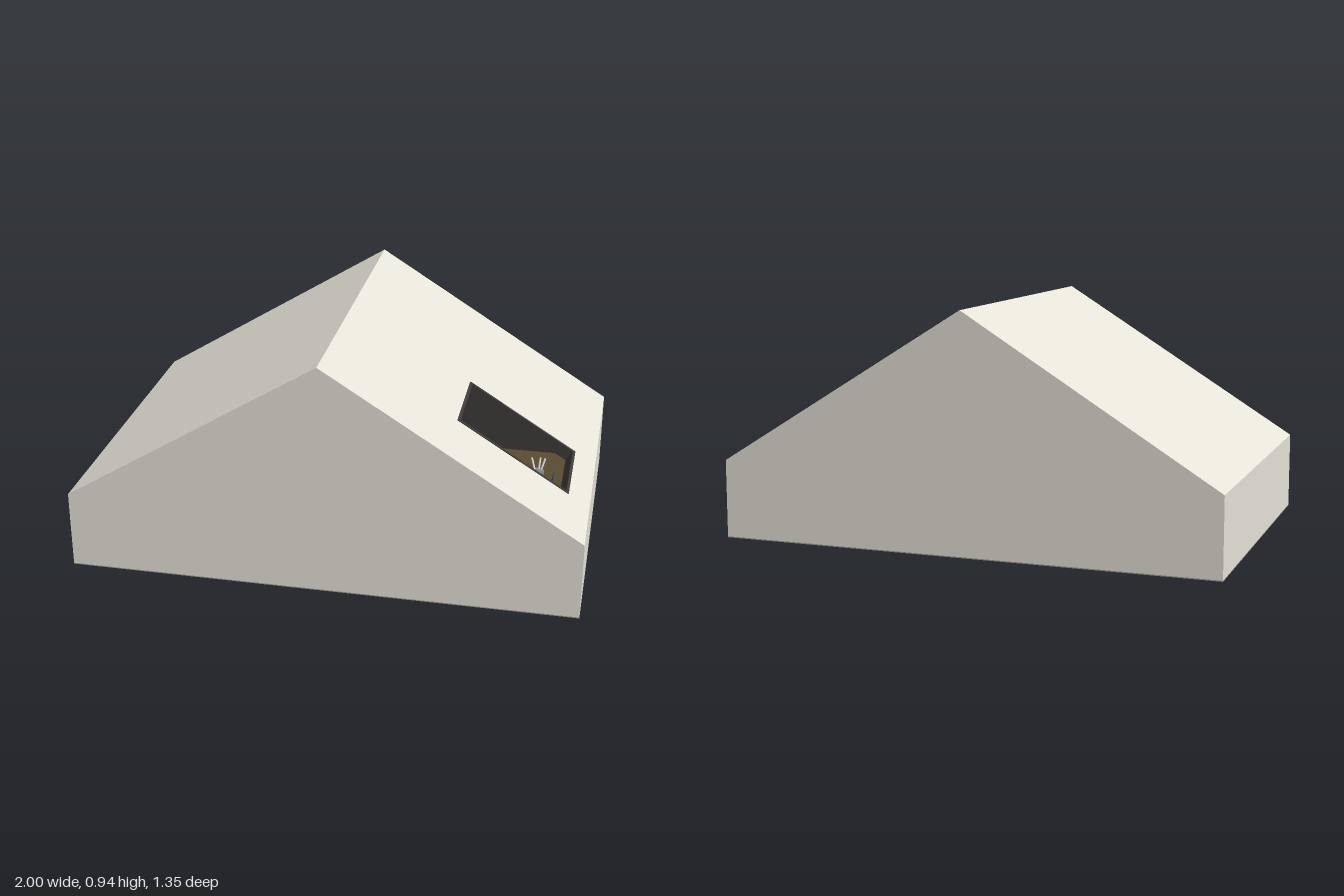
import * as THREE from 'three';

const mat = (name, color) => Object.assign(new THREE.MeshStandardMaterial({ color }), { name });

export function createModel() {
  const wall = mat('plaster', 0xe6e3d8);
  const base = mat('foundation grey', 0xa29e9a);
  const dark = mat('charcoal', 0x3e3c39);
  const floorWood = mat('floor wood', 0x5a4b32);
  const leather = mat('brown leather', 0x544529);
  const grey = mat('grey metal', 0x4c4c4e);
  const silver = mat('silver', 0x85868a);
  const pale = mat('pale ceramic', 0xe4e4e0);

  const house = new THREE.Group();
  house.name = 'atticHouse';

  const add = (name, geometry, material, x = 0, y = 0, z = 0, parent = house) => {
    const mesh = new THREE.Mesh(geometry, material);
    mesh.name = name;
    mesh.position.set(x, y, z);
    parent.add(mesh);
    return mesh;
  };
  const box = (name, w, h, d, material, x, y, z) =>
    add(name, new THREE.BoxGeometry(w, h, d), material, x, y, z);
  const rect = (Type, u0, u1, v0, v1) => new Type([[u0, v0], [u1, v0], [u1, v1], [u0, v1]]
    .map(([u, v]) => new THREE.Vector2(u, v)));
  const extrude = (shape, depth) =>
    new THREE.ExtrudeGeometry(shape, { depth, bevelEnabled: false, curveSegments: 12 });

  const D = 0.675, EAVE = 0.313, RIDGE = 0.935, BASE = 0.004;
  const L = Math.hypot(1, RIDGE - EAVE), c = 1 / L, s = (RIDGE - EAVE) / L;

  // Gable ends with a dark lining and a framed wooden panel inside
  const gable = (half, bottom, drop) => new THREE.Shape([[-half, bottom], [half, bottom],
    [half, RIDGE - 0.622 * half - drop], [0, RIDGE - drop], [-half, RIDGE - 0.622 * half - drop]]
    .map(([x, y]) => new THREE.Vector2(x, y)));
  for (const [name, side] of [['front', 1], ['back', -1]]) {
    add(name + 'Gable', extrude(gable(1, BASE, 0), 0.02), wall, 0, 0, side > 0 ? D - 0.02 : -D);
    add(name + 'GableLining', extrude(gable(0.965, 0.02, 0.05), 0.006), dark, 0, 0, side * (D - 0.023) - 0.003);
    box(name + 'WoodPanel', 0.6, 0.4, 0.006, floorWood, 0, 0.33, side * (D - 0.029));
    for (const y of [0.125, 0.535]) box(name + 'PanelRail', 0.64, 0.02, 0.016, dark, 0, y, side * (D - 0.032));
    for (const x of [-0.31, 0, 0.31]) box(name + 'PanelStile', 0.02, 0.4, 0.016, dark, x, 0.33, side * (D - 0.032));
  }

  // Low side walls and floor
  for (const side of [-1, 1]) {
    box(side > 0 ? 'leftWall' : 'rightWall', 0.03, EAVE - BASE, 2 * D, wall, side * 0.985, (EAVE + BASE) / 2, 0);
  }
  box('underside', 2, BASE, 2 * D, base, 0, BASE / 2, 0);
  box('floorBoards', 1.94, 0.02, 2 * D - 0.04, floorWood, 0, 0.016, 0);

  // Roof plane: local x runs down the slope, y is depth, z goes into the roof
  const slope = (name, turn) => {
    const pivot = new THREE.Group();
    pivot.name = name;
    pivot.rotation.y = turn;
    const plane = new THREE.Group();
    plane.applyMatrix4(new THREE.Matrix4().makeBasis(
      new THREE.Vector3(c, -s, 0), new THREE.Vector3(0, 0, 1), new THREE.Vector3(-s, -c, 0))
      .setPosition(0, RIDGE, 0));
    pivot.add(plane);
    house.add(pivot);
    return plane;
  };
  const U0 = 0.48 / c, U1 = 0.916 / c, V0 = 0.013, V1 = 0.382;
  for (const [name, turn, open] of [['skylightRoof', 0, true], ['plainRoof', Math.PI, false]]) {
    const plane = slope(name, turn);
    const outer = rect(THREE.Shape, 0, L, -D, D);
    const inner = rect(THREE.Shape, 0.05, L - 0.04, -D + 0.03, D - 0.03);
    if (open) {
      for (const sh of [outer, inner]) sh.holes.push(rect(THREE.Path, U0, U1, V0, V1));
      const frame = rect(THREE.Shape, U0, U1, V0, V1);
      frame.holes.push(rect(THREE.Path, U0 + 0.012, U1 - 0.012, V0 + 0.012, V1 - 0.012));
      add('skylightFrame', extrude(frame, 0.051), dark, 0, 0, -0.003, plane);
    }
    add('roofSlab', extrude(outer, 0.04), wall, 0, 0, 0, plane);
    add('ceilingLining', extrude(inner, 0.006), dark, 0, 0, 0.04, plane);
  }

  // Desk with rounded corners toward the chair
  const DESK = 0.25;
  const top = new THREE.Shape();
  top.moveTo(0.9, 0.015);
  top.lineTo(0.9, 0.385);
  top.lineTo(0.77, 0.385);
  top.quadraticCurveTo(0.69, 0.385, 0.69, 0.3);
  top.lineTo(0.69, 0.1);
  top.quadraticCurveTo(0.69, 0.015, 0.77, 0.015);
  add('deskTop', extrude(top, 0.015), floorWood, 0, DESK, 0).rotation.x = Math.PI / 2;
  for (const x of [0.75, 0.87]) {
    for (const z of [0.06, 0.34]) box('deskLeg', 0.016, 0.21, 0.016, dark, x, 0.131, z);
  }
  box('deskBackboard', 0.012, 0.03, 0.37, dark, 0.894, 0.265, 0.2);

  // Things on the desk
  box('laptopBase', 0.1, 0.008, 0.125, grey, 0.78, DESK + 0.004, 0.205);
  box('laptopScreen', 0.006, 0.08, 0.125, grey, 0.838, DESK + 0.045, 0.205).rotation.z = -0.25;
  box('notebook', 0.045, 0.01, 0.06, leather, 0.77, DESK + 0.005, 0.32).rotation.y = -0.5;
  add('penCup', new THREE.CylinderGeometry(0.026, 0.022, 0.05, 20), silver, 0.775, DESK + 0.025, 0.08);
  for (const [x, z] of [[-1, -1], [0.9, -1.1], [0.2, -1.2]]) {
    const pen = add('pen', new THREE.CylinderGeometry(0.004, 0.004, 0.07, 8), pale,
      0.775 + x * 0.018, DESK + 0.06, 0.08 + z * 0.018);
    pen.rotation.set(z * 0.3, 0, -x * 0.3);
  }
  add('lampBase', new THREE.CylinderGeometry(0.014, 0.014, 0.008, 16), dark, 0.868, DESK + 0.004, 0.315);
  add('lampStem', new THREE.CylinderGeometry(0.004, 0.004, 0.04, 8), dark, 0.868, DESK + 0.025, 0.315);
  add('lampShade', new THREE.ConeGeometry(0.016, 0.024, 16), dark, 0.868, DESK + 0.05, 0.315);

  // Swivel chair
  add('chairSeat', new THREE.SphereGeometry(1, 24, 12), leather, 0.617, 0.15, 0.2).scale.set(0.07, 0.028, 0.08);
  add('chairBack', new THREE.SphereGeometry(1, 24, 12), leather, 0.515, 0.27, 0.2).scale.set(0.028, 0.1, 0.065);
  add('chairSpine', new THREE.CylinderGeometry(0.007, 0.007, 0.14, 8), dark, 0.53, 0.2, 0.2).rotation.z = 0.2;
  box('chairBracket', 0.09, 0.01, 0.02, dark, 0.575, 0.13, 0.2);
  add('chairPost', new THREE.CylinderGeometry(0.009, 0.009, 0.1, 12), dark, 0.61, 0.085, 0.2);
  for (let i = 0; i < 5; i++) {
    const a = i * Math.PI * 0.4;
    box('chairFoot', 0.07, 0.01, 0.014, dark, 0.61 + Math.cos(a) * 0.035, 0.034, 0.2 - Math.sin(a) * 0.035).rotation.y = a;
  }
  return house;
}
